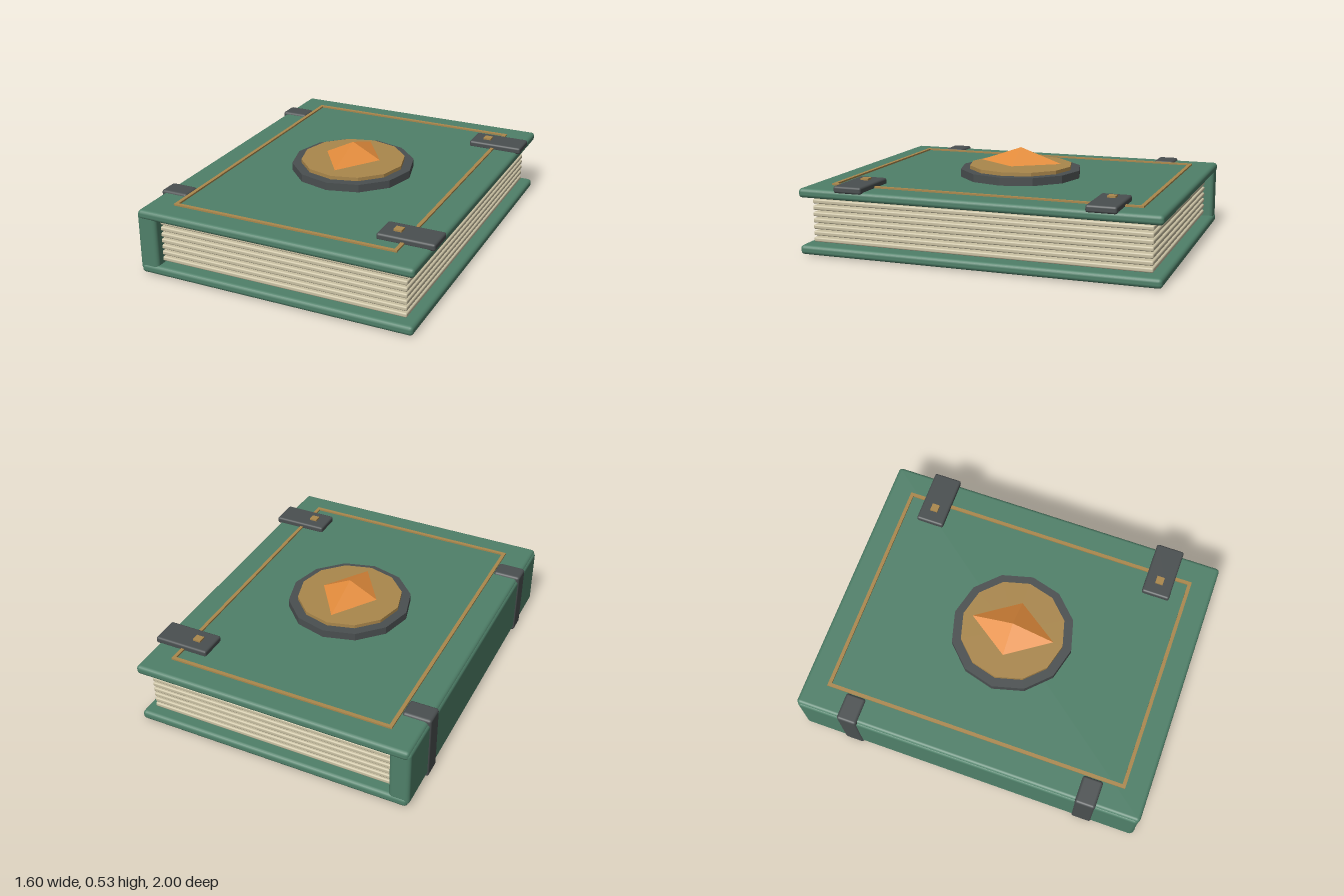
import * as THREE from 'three';
import { RoundedBoxGeometry } from 'three/addons/geometries/RoundedBoxGeometry.js';

const mat = (color, flatShading = false) => {
  const m = new THREE.MeshStandardMaterial({ color });
  m.flatShading = flatShading;
  return m;
};

export function createModel() {
  const book = new THREE.Group();
  book.name = 'book';
  const green = mat(0x4f8069), iron = mat(0x4a4f50), gold = mat(0xaa874c), paper = mat(0xcbc2a4);
  const ironFlat = mat(0x4a4f50, true), goldFlat = mat(0xaa874c, true), amber = mat(0xe38c3c, true);

  const add = (name, geometry, material, x = 0, y = 0, z = 0) => {
    const mesh = new THREE.Mesh(geometry, material);
    mesh.name = name;
    mesh.position.set(x, y, z);
    book.add(mesh);
    return mesh;
  };
  // Box given by its minimum and maximum on each axis, with bevel radius r
  const box = (name, material, [x0, x1], [y0, y1], [z0, z1], r = 0) => {
    const size = [x1 - x0, y1 - y0, z1 - z0];
    const geometry = r ? new RoundedBoxGeometry(...size, 2, r) : new THREE.BoxGeometry(...size);
    return add(name, geometry, material, (x0 + x1) / 2, (y0 + y1) / 2, (z0 + z1) / 2);
  };

  // Covers and spine
  box('bottomCover', green, [-0.785, 0.782], [0.004, 0.056], [-1, 1], 0.02);
  box('topCover', green, [-0.785, 0.782], [0.319, 0.371], [-1, 1], 0.02);
  box('spine', green, [-0.794, -0.68], [0.015, 0.36], [-0.995, 0.995], 0.022);

  // Separate page layers
  for (let i = 0; i < 7; i++) {
    const y = 0.08 + i * 0.0355;
    box('pageLayer', paper, [-0.7, 0.728], [y - 0.0125, y + 0.0125], [-0.943, 0.943], 0.008);
  }

  // Spine straps, clasps and studs
  for (const z of [-0.693, 0.693]) {
    box('spineStrap', iron, [-0.8, -0.642], [0, 0.384], [z - 0.058, z + 0.058], 0.015);
    box('clasp', iron, [0.486, 0.8], [0.363, 0.402], [z - 0.081, z + 0.081], 0.012);
    box('claspStud', gold, [0.555, 0.6], [0.39, 0.412], [z - 0.022, z + 0.022]);
  }

  // Inlaid trim on the top cover
  for (const s of [-1, 1]) {
    const x = s * 0.63, z = s * 0.86;
    box('sideTrim', gold, [x - 0.01, x + 0.01], [0.365, 0.38], [-0.87, 0.87]);
    box('endTrim', gold, [-0.62, 0.62], [0.365, 0.38], [z - 0.01, z + 0.01]);
  }

  // Medallion
  add('medallionBase', new THREE.CylinderGeometry(0.348, 0.348, 0.05, 12), ironFlat, 0, 0.39, 0);
  add('medallionPlate', new THREE.CylinderGeometry(0.296, 0.296, 0.03, 12), goldFlat, 0, 0.42, 0);

  // Faceted gem: tall upper pyramid over a shallow lower one
  const crown = add('gemCrown', new THREE.ConeGeometry(1, 0.084, 4, 1, true), amber, 0, 0.489, 0);
  const base = add('gemBase', new THREE.CylinderGeometry(1, 0, 0.022, 4, 1, true), amber, 0, 0.436, 0);
  for (const part of [crown, base]) part.scale.set(0.165, 1, 0.24);

  return book;
}
